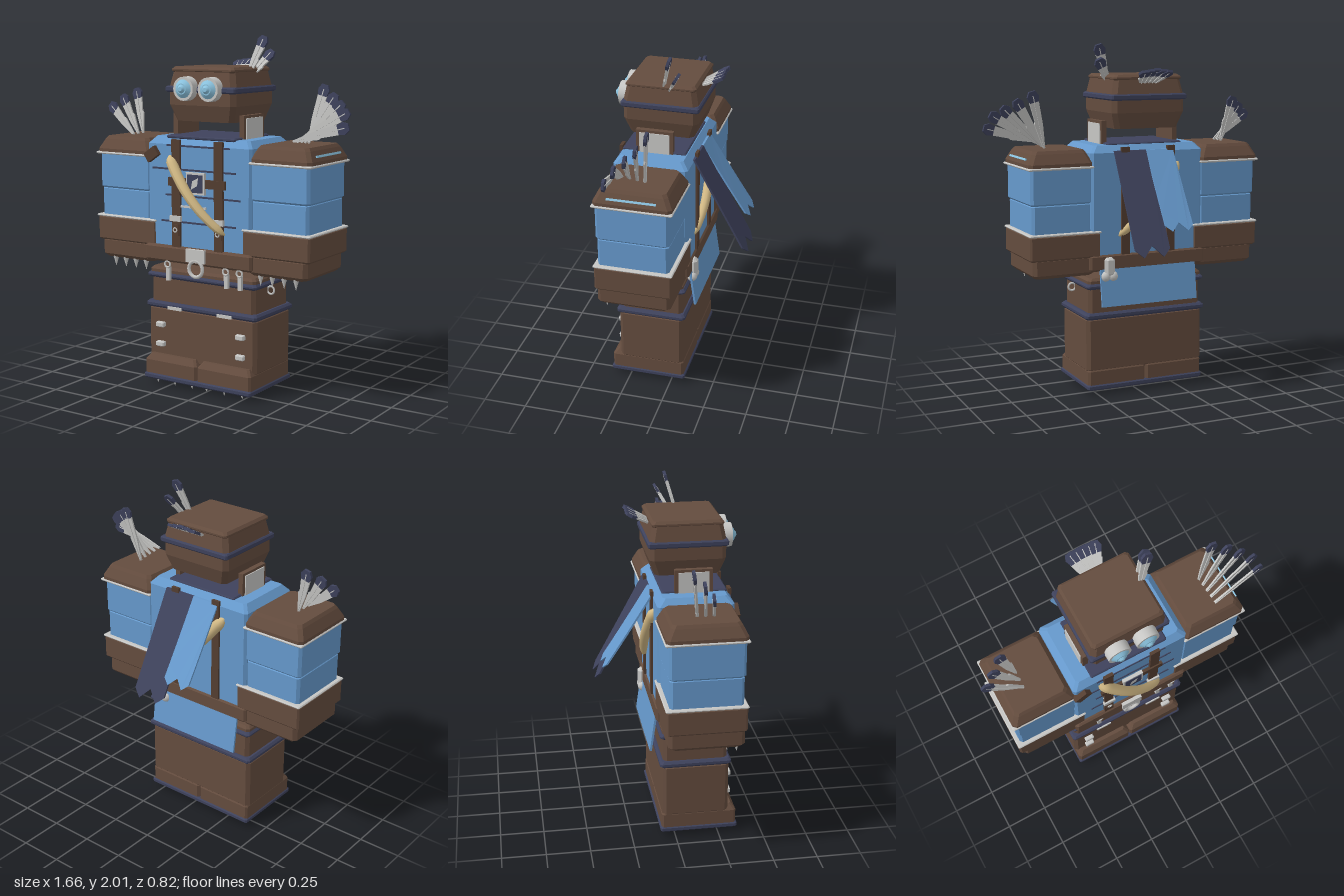
import * as THREE from 'three';
import { ConvexGeometry } from 'three/addons/geometries/ConvexGeometry.js';

const paint = (name, color, extra = {}) => {
  const m = new THREE.MeshStandardMaterial({ color, ...extra });
  m.name = name;
  return m;
};
const V = (x, y, z) => new THREE.Vector3(x, y, z);

export function createModel() {
  const brown = paint('leather brown', 0x644c3e);
  const dark = paint('dark strap brown', 0x543e31);
  const blue = paint('cloth blue', 0x6699cc);
  const navy = paint('navy', 0x3e425c);
  const grey = paint('pale metal', 0xc6c6c4);
  const ivory = paint('ivory', 0xd2b985);
  const lens = paint('lens blue', 0x8cc4e0);

  const root = new THREE.Group();
  root.name = 'blockyTraveller';
  const body = new THREE.Group(); // symmetric about its own x = 0
  body.name = 'body';
  body.position.x = -0.05;
  root.add(body);

  const add = (name, geo, mat, parent = body) => {
    const m = new THREE.Mesh(geo, mat);
    m.name = name;
    parent.add(m);
    return m;
  };
  // stacked octagonal rings: each ring is [height, inset], c is the corner cut
  const stack = (name, mat, x0, x1, z0, z1, rings, c = 0.015) => {
    const pts = [];
    for (const [y, i] of rings) {
      const a = x0 + i, b = x1 - i, p = z0 + i, q = z1 - i;
      for (const x of [a, b]) for (const z of [p, q]) {
        const sx = x === a ? c : -c, sz = z === p ? c : -c;
        pts.push(V(x + sx, y, z), V(x, y, z + sz));
      }
    }
    return add(name, new ConvexGeometry(pts), mat);
  };
  const bevel = (name, mat, x0, x1, y0, y1, z0, z1, c = 0.015) =>
    stack(name, mat, x0, x1, z0, z1, [[y0, c], [y0 + c, 0], [y1 - c, 0], [y1, c]], c);
  const box = (name, mat, x, y, z, w, h, d) => {
    const m = add(name, new THREE.BoxGeometry(w, h, d), mat);
    m.position.set(x, y, z);
    return m;
  };
  const ring = (name, x, y, z, r, t) => {
    const m = add(name, new THREE.TorusGeometry(r, t, 6, 18), grey);
    m.position.set(x, y, z);
    return m;
  };
  const spike = (name, x, y, z, r, h) => {
    const m = add(name, new THREE.ConeGeometry(r, h, 8), grey);
    m.rotation.x = Math.PI;
    m.position.set(x, y - h / 2, z);
  };

  // boots and trousers
  bevel('sole', navy, -0.365, 0.365, 0.03, 0.062, -0.085, 0.36, 0.008);
  for (const x of [-0.29, -0.17, -0.05, 0.05, 0.17, 0.29]) spike('soleSpike', x, 0.035, 0.32, 0.014, 0.035);
  for (const s of [-1, 1])
    stack('boot', brown, Math.min(s * 0.002, s * 0.36), Math.max(s * 0.002, s * 0.36), -0.078, 0.352,
      [[0.06, 0], [0.14, 0], [0.175, 0.025]], 0.012);
  bevel('trousers', brown, -0.366, 0.366, 0.13, 0.46, -0.075, 0.305, 0.02);
  bevel('hips', brown, -0.352, 0.352, 0.46, 0.64, -0.07, 0.295, 0.02);
  bevel('lowerBelt', navy, -0.376, 0.376, 0.446, 0.484, -0.09, 0.317, 0.012);
  bevel('upperBelt', navy, -0.37, 0.37, 0.622, 0.654, -0.09, 0.312, 0.012);
  stack('waistTop', brown, -0.358, 0.358, -0.075, 0.3, [[0.65, 0], [0.67, 0], [0.685, 0.015]]);
  for (const s of [-1, 1]) {
    for (const y of [0.235, 0.35]) bevel('trouserStud', grey, s * 0.272 - 0.028, s * 0.272 + 0.028, y - 0.015, y + 0.015, 0.29, 0.33, 0.005);
    box('beltClip', grey, s * 0.17, 0.456, 0.312, 0.095, 0.018, 0.025);
  }

  // torso
  stack('torso', blue, -0.347, 0.347, -0.1, 0.322, [[0.76, 0], [1.4, 0], [1.44, 0.035]], 0.015);
  bevel('waistBelt', brown, -0.36, 0.36, 0.73, 0.825, -0.11, 0.345, 0.012);
  bevel('collarPlate', navy, -0.23, 0.23, 1.43, 1.45, -0.06, 0.3, 0.006);
  for (const [y, x, w] of [[1.395, 0, 0.42], [1.262, -0.03, 0.56], [1.115, 0.03, 0.5], [0.965, 0, 0.5]])
    box('chestSeam', navy, x, y, 0.323, w, 0.01, 0.008);
  box('chestTrim', grey, -0.06, 1.055, 0.324, 0.23, 0.012, 0.009);
  for (const s of [-1, 1]) {
    const x = s * 0.1425;
    box('frontStrap', dark, x, 1.125, 0.328, 0.056, 0.61, 0.018);
    box('backStrap', dark, x, 1.125, -0.104, 0.05, 0.61, 0.016);
    box('strapBuckle', grey, x, 0.985, 0.337, 0.072, 0.032, 0.02);
    box('strapTag', dark, x, 0.92, 0.338, 0.046, 0.065, 0.014);
    ring('strapRivet', x, 0.92, 0.346, 0.012, 0.004);
    box('neckPost', brown, s * 0.222, 1.5, 0.115, 0.03, 0.14, 0.21);
    box('neckPlate', grey, s * 0.239, 1.495, 0.115, 0.008, 0.12, 0.17);
  }
  box('chestStrap', dark, 0, 1.193, 0.336, 0.38, 0.048, 0.018);
  box('chestFrame', grey, 0, 1.193, 0.343, 0.122, 0.122, 0.02);
  box('chestPanel', navy, 0, 1.193, 0.352, 0.1, 0.1, 0.008);
  const leaf = new THREE.Shape([[-0.025, -0.035], [0.018, -0.01], [0.025, 0.035], [-0.015, 0.015]].map(p => new THREE.Vector2(...p)));
  add('chestInlay', new THREE.ShapeGeometry(leaf), grey).position.set(0, 1.193, 0.358);

  // belt hardware
  box('beltBuckle', grey, 0, 0.785, 0.348, 0.125, 0.075, 0.02);
  ring('beltRing', 0, 0.712, 0.35, 0.046, 0.011);
  for (const x of [-0.205, 0.19, 0.28]) {
    ring('hangingRing', x, 0.715, 0.335, 0.018, 0.006);
    box('hangingClip', grey, x, 0.66, 0.325, 0.024, 0.08, 0.02);
  }
  ring('sideRing', 0.37, 0.6, 0.15, 0.022, 0.006);

  // curved tusks slung across the chest and the back
  const tusk = (name, z0, zMid, z1) => {
    const path = new THREE.QuadraticBezierCurve3(V(-0.195, 1.335, z0), V(-0.005, 1.08, zMid), V(0.185, 0.92, z1));
    const geo = new THREE.TubeGeometry(path, 28, 1, 10, false);
    const p = geo.attributes.position, v = V(0, 0, 0);
    for (let i = 0; i < p.count; i++) {
      const u = Math.floor(i / 11) / 28, c = path.getPointAt(u);
      const r = (0.034 - 0.012 * u) * Math.min(1, Math.sqrt(u * 12 + 0.05), Math.sqrt((1 - u) * 12 + 0.02));
      p.setXYZ(i, ...v.fromBufferAttribute(p, i).sub(c).multiplyScalar(r).add(c).toArray());
    }
    geo.computeVertexNormals();
    add(name, geo, ivory);
  };
  tusk('chestTusk', 0.32, 0.435, 0.335);
  tusk('backTusk', -0.09, -0.16, -0.09);
  box('tuskLoop', dark, -0.305, 1.34, 0.33, 0.085, 0.058, 0.04).rotation.z = 0.6;

  // arms
  for (const s of [-1, 1]) {
    const span = (a, b) => (s > 0 ? [a, b] : [-b, -a]);
    bevel('upperSleeve', blue, ...span(0.335, 0.7), 1.115, 1.335, -0.092, 0.316);
    bevel('lowerSleeve', blue, ...span(0.34, 0.693), 0.93, 1.13, -0.087, 0.31);
    stack('shoulderPad', brown, ...span(0.335, 0.712), -0.108, 0.325, [[1.328, 0], [1.35, 0], [1.405, 0.028], [1.422, 0.04]], 0.02);
    bevel('shoulderTrim', grey, ...span(0.332, 0.718), 1.318, 1.332, -0.114, 0.331, 0.005);
    bevel('cuff', brown, ...span(0.292, 0.712), 0.812, 0.955, -0.106, 0.328, 0.01);
    bevel('cuffTrim', grey, ...span(0.288, 0.717), 0.95, 0.963, -0.111, 0.333, 0.005);
    bevel('glove', brown, ...span(0.315, 0.69), 0.71, 0.83, -0.092, 0.322, 0.02);
    for (let i = 0; i < 4; i++) spike('claw', s * (0.39 + i * 0.074), 0.725, 0.29, 0.021, 0.072);
  }
  box('shoulderStripe', lens, 0.702, 1.375, 0.11, 0.009, 0.012, 0.27).rotation.z = 0.45;

  // head with goggles
  stack('head', brown, -0.222, 0.222, -0.122, 0.298, [[1.53, 0.03], [1.62, 0], [1.72, 0], [1.81, 0.018]], 0.025);
  bevel('headCap', brown, -0.208, 0.208, 1.795, 1.832, -0.11, 0.285, 0.014);
  bevel('goggleStrap', navy, -0.232, 0.232, 1.69, 1.725, -0.132, 0.308, 0.008);
  const disc = (name, mat, x, z, r0, r1, d) => {
    const m = add(name, new THREE.CylinderGeometry(r1, r0, d, 20), mat);
    m.rotation.x = Math.PI / 2;
    m.position.set(x, 1.713, z + d / 2);
  };
  for (const s of [-1, 1]) {
    disc('goggleRim', grey, s * 0.082, 0.29, 0.068, 0.066, 0.055);
    disc('goggleLens', lens, s * 0.082, 0.34, 0.058, 0.03, 0.022);
    disc('goggleTip', lens, s * 0.082, 0.36, 0.026, 0.012, 0.014);
  }

  // split tails of the scarf, each a swallow-tailed strip bent backward
  const tail = (name, mat, x0, x1, yEnd, zEnd) => {
    const w = x1 - x0, L = 1;
    const s = new THREE.Shape();
    s.moveTo(0, 0);
    for (const t of [0.25, 0.5, 0.75]) s.lineTo(0, t * L);
    for (const [u, t] of [[0, 0.92], [0.22, 1], [0.5, 0.88], [0.78, 1], [1, 0.92], [1, 0.75], [1, 0.5], [1, 0.25], [1, 0]]) s.lineTo(u * w, t * L);
    const geo = new THREE.ExtrudeGeometry(s, { depth: 0.012, bevelEnabled: false });
    const p = geo.attributes.position;
    for (let i = 0; i < p.count; i++) {
      const t = p.getY(i), sag = 0.02 * Math.sin(Math.PI * t);
      p.setXYZ(i, x1 - p.getX(i), 1.41 + (yEnd - 1.41) * t - sag, -0.095 + (zEnd + 0.095) * t - sag * 0.5 - p.getZ(i));
    }
    geo.computeVertexNormals();
    const m = mat.clone();
    add(name, geo, mat === navy ? navyCloth : blueCloth);
  };
  const navyCloth = navy, blueCloth = blue;
  navy.side = blue.side = THREE.DoubleSide;
  tail('navyScarfTail', navy, 0.0, 0.21, 0.85, -0.4);
  tail('blueScarfTail', blue, -0.155, 0.015, 0.98, -0.37);

  // coat tail and a knuckle bone hanging at the back
  box('coatTail', blue, 0, 0.645, -0.117, 0.6, 0.235, 0.012).rotation.x = 0.14;
  bevel('boneShaft', grey, 0.215, 0.275, 0.7, 0.81, -0.135, -0.085, 0.015);
  for (const x of [0.222, 0.268]) {
    const knob = add('boneKnob', new THREE.SphereGeometry(0.03, 10, 8), grey);
    knob.position.set(x, 0.7, -0.108);
  }

  // feathers: pale vane with a navy tip, lying across the given facing
  const slab = pts => new THREE.ExtrudeGeometry(new THREE.Shape(pts.map(p => new THREE.Vector2(...p))), { depth: 0.01, bevelEnabled: false });
  const feather = (base, tip, facing) => {
    const g = new THREE.Group(), a = V(...base), up = V(...tip).sub(a), L = up.length();
    up.normalize();
    const side = up.clone().cross(V(...facing)).normalize();
    g.name = 'feather';
    g.matrix.makeBasis(side, up, side.clone().cross(up)).setPosition(a);
    g.matrix.decompose(g.position, g.quaternion, g.scale);
    add('vane', slab([[-0.006, 0], [0.006, 0], [0.026, L * 0.45], [0.02, L * 0.5], [0.028, L - 0.05], [-0.028, L - 0.05], [-0.022, L * 0.4]]), grey, g);
    const t = add('featherTip', slab([[-0.026, -0.055], [0.026, -0.055], [0.034, -0.02], [0.018, 0.008], [-0.018, 0.008], [-0.034, -0.02]]), navy, g);
    t.scale.z = 1.5;
    t.position.set(0, L, -0.0025);
    const q = add('quill', new THREE.BoxGeometry(0.005, L * 0.95, 0.018), grey, g);
    q.position.set(0, L * 0.475, 0.005);
    root.add(g);
  };
  [[0.59, 1.735, 0.035], [0.67, 1.69, 0.07], [0.735, 1.65, 0.11], [0.79, 1.61, 0.155], [0.812, 1.535, 0.2]]
    .forEach((tip, i) => feather([0.51, 1.425 + i * 0.006, 0.07 + i * 0.042], tip, [0, 0, 1]));
  [[-0.68, 1.68, 0.04], [-0.75, 1.64, 0.085], [-0.812, 1.59, 0.12]]
    .forEach((tip, i) => feather([-0.615, 1.425, 0.07 + i * 0.045], tip, [0, 0, 1]));
  feather([0.12, 1.77, 0.08], [0.197, 1.99, 0.02], [0, 0.3, 1]);
  feather([0.12, 1.77, 0.05], [0.217, 1.91, -0.03], [0, 0.6, 1]);
  for (let k = -2; k <= 2; k++)
    feather([-0.05 + k * 0.02, 1.775, -0.09], [-0.05 + k * 0.037, 1.855 - Math.abs(k) * 0.005, -0.225], [0, 1, 0.5]);

  return root;
}
